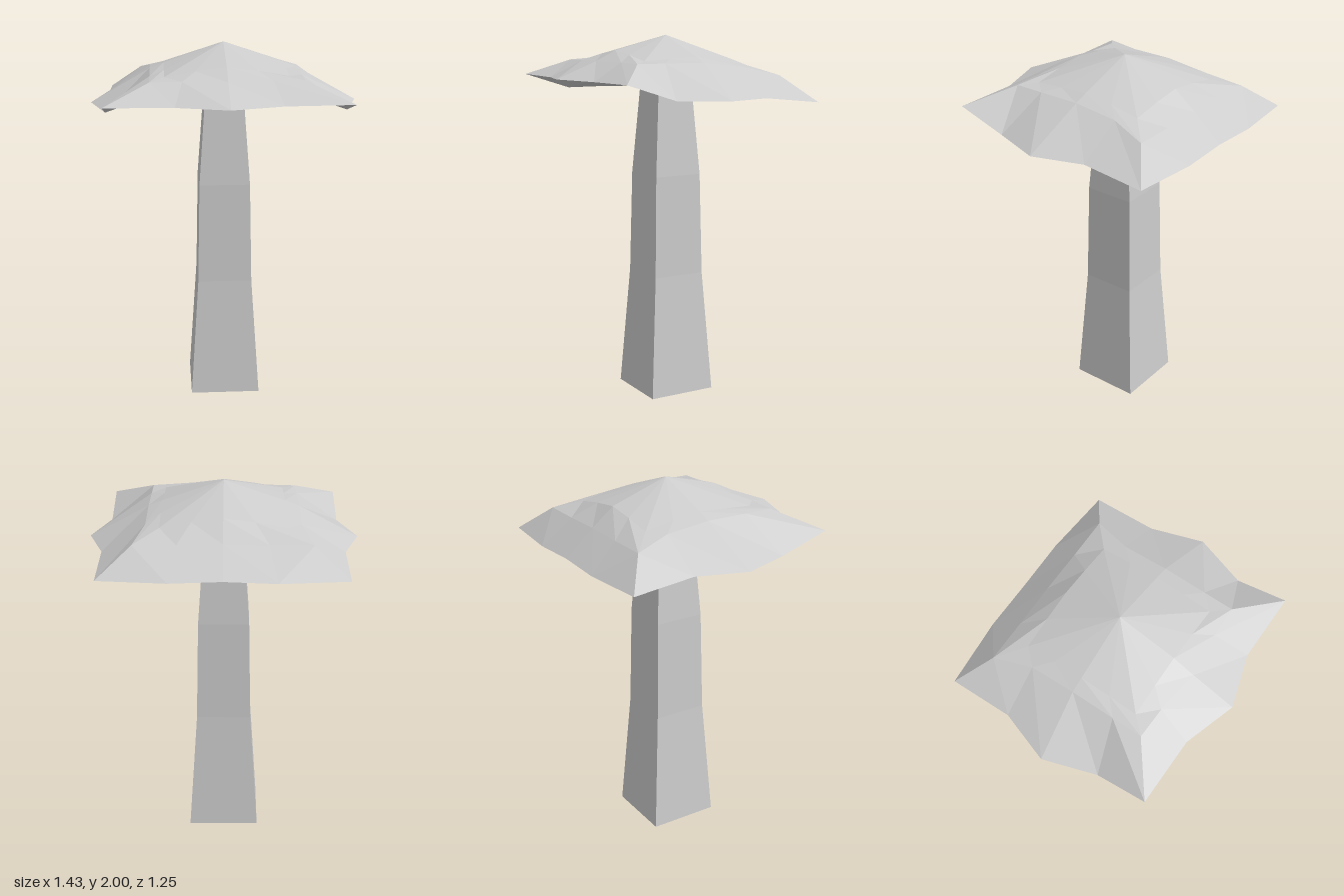
import * as THREE from 'three';

const AXIS_Z = -0.03; // the stem and peak sit slightly behind the centre

// Skin of quads between rings of [x, y, z] points, listed counter-clockwise from above
function skin(rings, flipped = () => false) {
  const pos = [];
  const tri = (a, b, c) => pos.push(...a, ...b, ...c);
  for (let r = 0; r < rings.length - 1; r++) {
    const up = rings[r], low = rings[r + 1], n = Math.max(up.length, low.length);
    for (let i = 0; i < n; i++) {
      const j = (i + 1) % n;
      if (up.length === 1) tri(up[0], low[i], low[j]);
      else if (low.length === 1) tri(up[i], low[0], up[j]);
      else if (flipped(r, i)) {
        tri(up[i], low[i], up[j]);
        tri(up[j], low[i], low[j]);
      } else {
        tri(up[i], low[i], low[j]);
        tri(up[i], low[j], up[j]);
      }
    }
  }
  const geo = new THREE.BufferGeometry();
  geo.setAttribute('position', new THREE.Float32BufferAttribute(pos, 3));
  geo.computeVertexNormals();
  return geo;
}

// Full ring from its +x half, given from front middle to back middle
const mirrored = (half) => [
  ...half,
  ...half.slice(1, -1).reverse().map(([x, y, z]) => [-x, y, z]),
];

// Level square ring with four points to a side
const square = (h, y) => mirrored(
  [[0, 1], [0.5, 1], [1, 1], [1, 0.5], [1, 0], [1, -0.5], [1, -1], [0.5, -1], [0, -1]]
    .map(([x, z]) => [x * h, y, z * h + AXIS_Z]),
);

export function createModel() {
  const group = new THREE.Group();
  const grey = new THREE.MeshStandardMaterial({ color: 0xcccccc, side: THREE.DoubleSide });
  grey.name = 'plain grey';

  // Cap top: peak first, then three rings down to the wavy rim
  const peak = [[0, 2, AXIS_Z]];
  const crown = mirrored([
    [0, 1.92, 0.28], [0.16, 1.9, 0.28], [0.32, 1.872, 0.28], [0.32, 1.882, 0.13],
    [0.32, 1.89, -0.03], [0.32, 1.87, -0.19], [0.32, 1.84, -0.35],
    [0.16, 1.87, -0.35], [0, 1.89, -0.35],
  ]);
  const shoulder = mirrored([
    [0, 1.865, 0.395], [0.23, 1.865, 0.365], [0.395, 1.862, 0.36], [0.395, 1.862, 0.2],
    [0.395, 1.862, -0.03], [0.395, 1.835, -0.27], [0.45, 1.79, -0.47],
    [0.23, 1.79, -0.47], [0, 1.795, -0.47],
  ]);
  const rim = mirrored([
    [0, 1.775, 0.625], [0.27, 1.772, 0.54], [0.625, 1.775, 0.54], [0.625, 1.69, 0.27],
    [0.713, 1.685, 0], [0.625, 1.685, -0.265], [0.625, 1.652, -0.6],
    [0.27, 1.65, -0.63], [0, 1.658, -0.625],
  ]);
  // Outer facets twist round the cap, apart from the back corner on the -x side
  const cap = new THREE.Mesh(skin([peak, crown, shoulder, rim], (r, i) => r === 2 && i === 9), grey);
  cap.name = 'capTop';

  // Underside: shallow facets from the rim in to the top of the stem
  const neck = square(0.094, 1.83);
  const underside = new THREE.Mesh(skin([rim, neck]), grey);
  underside.name = 'capUnderside';

  // Stem: square column, flared and closed at the foot
  const stem = new THREE.Mesh(skin([
    neck, square(0.105, 1.7), square(0.138, 1.24),
    square(0.149, 0.68), square(0.193, 0.004), [[0, 0, AXIS_Z]],
  ]), grey);
  stem.name = 'stem';

  group.add(stem, underside, cap);
  return group;
}
